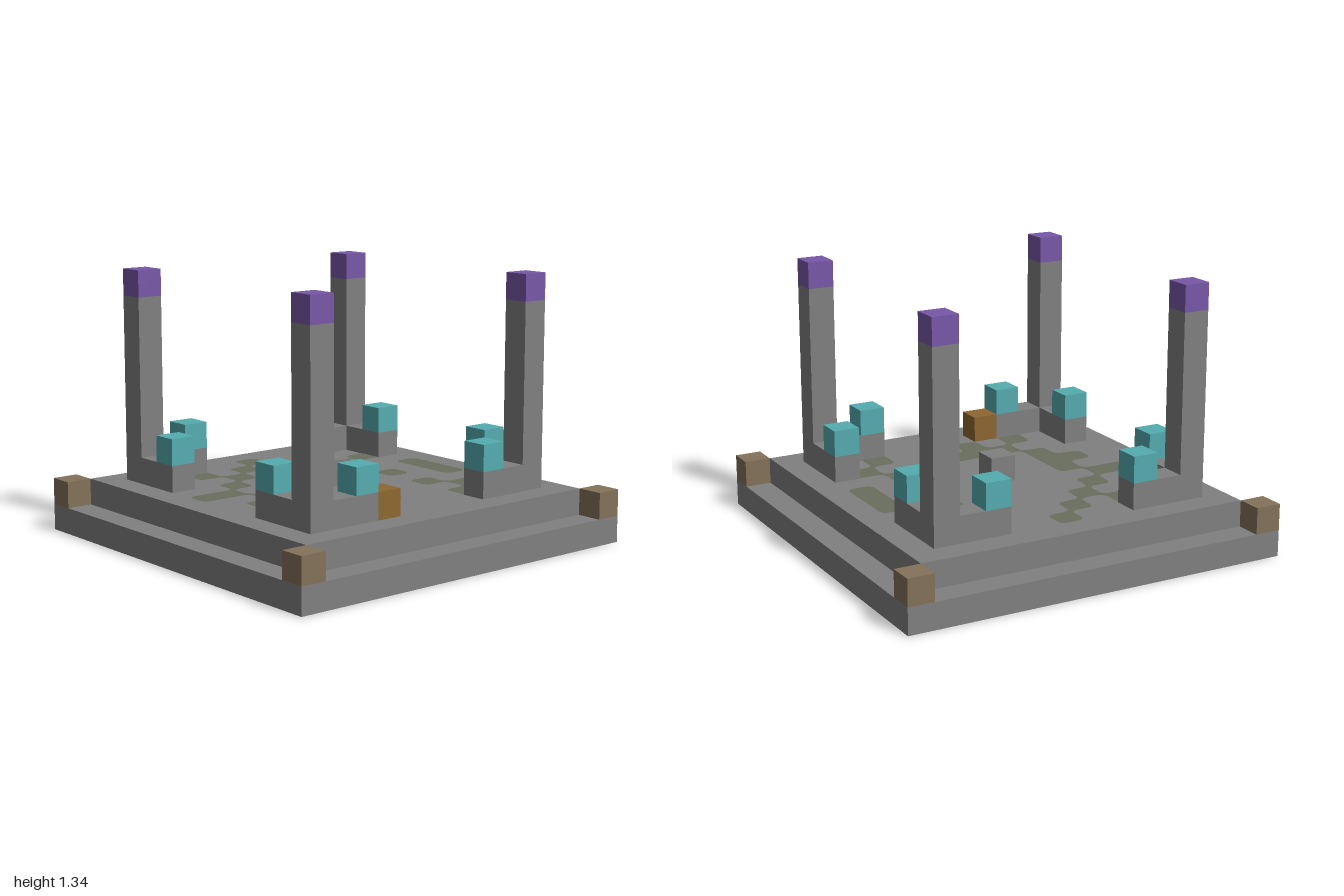
import * as THREE from 'three';

const U = 2 / 15; // one block

const material = (name, color) => {
  const m = new THREE.MeshStandardMaterial({ color });
  m.name = name;
  return m;
};

// Cells [x, z] counted from the centre block
const TOP_MOSS = [
  [0, -5], [-3, -5], [-3, -4], [-1, -4], [-2, -3], [4, -3], [5, -3], [-3, -2], [3, -2],
  [-5, -1], [-4, -1], [5, -1], [-3, 0], [3, 0], [5, 0], [-4, 1], [-3, 1], [5, 1],
  [-3, 2], [3, 2], [-2, 3], [-1, 3], [0, 3], [4, 3], [5, 3], [-3, 4], [-1, 4], [3, 4],
  [-3, 5], [3, 5],
];
const BOTTOM_MOSS = [
  [-4, -6], [-5, -5], [-5, -4], [-3, -5], [-4, -4], [-2, -4], [-2, -3], [-2, -2], [-3, -2],
  [-3, -1], [-4, -1], [-4, 0], [0, -6], [1, -5], [2, -6], [2, -4], [3, -5], [4, -3],
  [5, -4], [6, -6], [5, -6], [1, -3], [0, -2], [2, -2], [0, 0], [-3, 3], [-3, 5], [-2, 5],
  [1, 5], [5, 6], [4, 6], [2, 2], [5, -1], [3, -1], [5, 2], [5, 3], [4, 4], [4, 2], [6, 0],
];

// Flat patches: cells rounded at free corners, filleted where they meet
function mossGeometry(cells, up) {
  const pts = cells.map(([x, z]) => [x, -up * z]);
  const keys = new Set(pts.map((p) => p.join()));
  const has = (x, y) => keys.has(x + ',' + y);
  const r = 0.042, h = U / 2;
  const corners = [[-1, -1], [1, -1], [1, 1], [-1, 1]];
  const shapes = [];
  for (const [x, y] of pts) {
    const s = new THREE.Shape();
    corners.forEach(([sx, sy], i) => {
      const cx = x * U + sx * h, cy = y * U + sy * h;
      const free = !has(x + sx, y) && !has(x, y + sy) && !has(x + sx, y + sy);
      const alongY = [cx, cy - sy * r], alongX = [cx - sx * r, cy];
      const [a, b] = i % 2 ? [alongX, alongY] : [alongY, alongX];
      const start = free ? a : [cx, cy];
      if (i === 0) s.moveTo(...start); else s.lineTo(...start);
      if (free) s.quadraticCurveTo(cx, cy, ...b);
    });
    s.closePath();
    shapes.push(s);
  }
  for (let x = -7; x <= 7; x++) for (let y = -7; y <= 7; y++) {
    if (has(x, y)) continue;
    for (const [sx, sy] of corners) {
      if (!has(x + sx, y) || !has(x, y + sy)) continue;
      const cx = x * U + sx * h, cy = y * U + sy * h;
      const f = new THREE.Shape();
      f.moveTo(cx, cy);
      f.lineTo(cx - sx * r, cy);
      f.quadraticCurveTo(cx, cy, cx, cy - sy * r);
      f.closePath();
      shapes.push(f);
    }
  }
  return new THREE.ShapeGeometry(shapes, 4).rotateX(-up * Math.PI / 2);
}

export function createModel() {
  const model = new THREE.Group();
  model.name = 'ruinedPlatform';
  const stone = material('stone grey', 0x808080);
  const moss = material('moss', 0x6a6f5d);
  const purple = material('purple', 0x7858a8);
  const teal = material('teal', 0x55acb0);
  const orange = material('ochre', 0x8e6730);
  const brown = material('brown', 0x84725a);

  // Box in block units: centre x, z; base layer; size
  const block = (name, mat, x, layer, z, w = 1, h = 1, d = 1) => {
    const mesh = new THREE.Mesh(new THREE.BoxGeometry(w * U, h * U, d * U), mat);
    mesh.position.set(x * U, (layer + h / 2) * U, z * U);
    mesh.name = name;
    model.add(mesh);
  };

  // Stepped base
  block('baseSlab', stone, 0, 0, 0, 15, 1, 15);
  block('upperStep', stone, 0, 1, 0, 13, 1, 13);

  // Four mirrored corners
  for (const sx of [-1, 1]) for (const sz of [-1, 1]) {
    block('cornerBlock', brown, sx * 7, 1, sz * 7);
    block('pillar', stone, sx * 5, 2, sz * 5, 1, 7, 1);
    block('pillarCap', purple, sx * 5, 9, sz * 5);
    block('lowWallAcross', stone, sx * 3.5, 2, sz * 5, 2, 1, 1);
    block('lowWallAlong', stone, sx * 5, 2, sz * 3.5, 1, 1, 2);
    block('wallLamp', teal, sx * 3, 3, sz * 5);
    block('wallLamp', teal, sx * 5, 3, sz * 3);
  }

  // Single blocks on the floor
  block('centreBlock', stone, 0, 2, 0);
  block('chest', orange, -2, 2, 5);

  // Moss patches on the floor and the underside
  const floorMoss = new THREE.Mesh(mossGeometry(TOP_MOSS, 1), moss);
  floorMoss.name = 'floorMoss';
  floorMoss.position.y = 2 * U + 0.002;
  const undersideMoss = new THREE.Mesh(mossGeometry(BOTTOM_MOSS, -1), moss);
  undersideMoss.name = 'undersideMoss';
  undersideMoss.position.y = -0.002;
  model.add(floorMoss, undersideMoss);
  return model;
}
